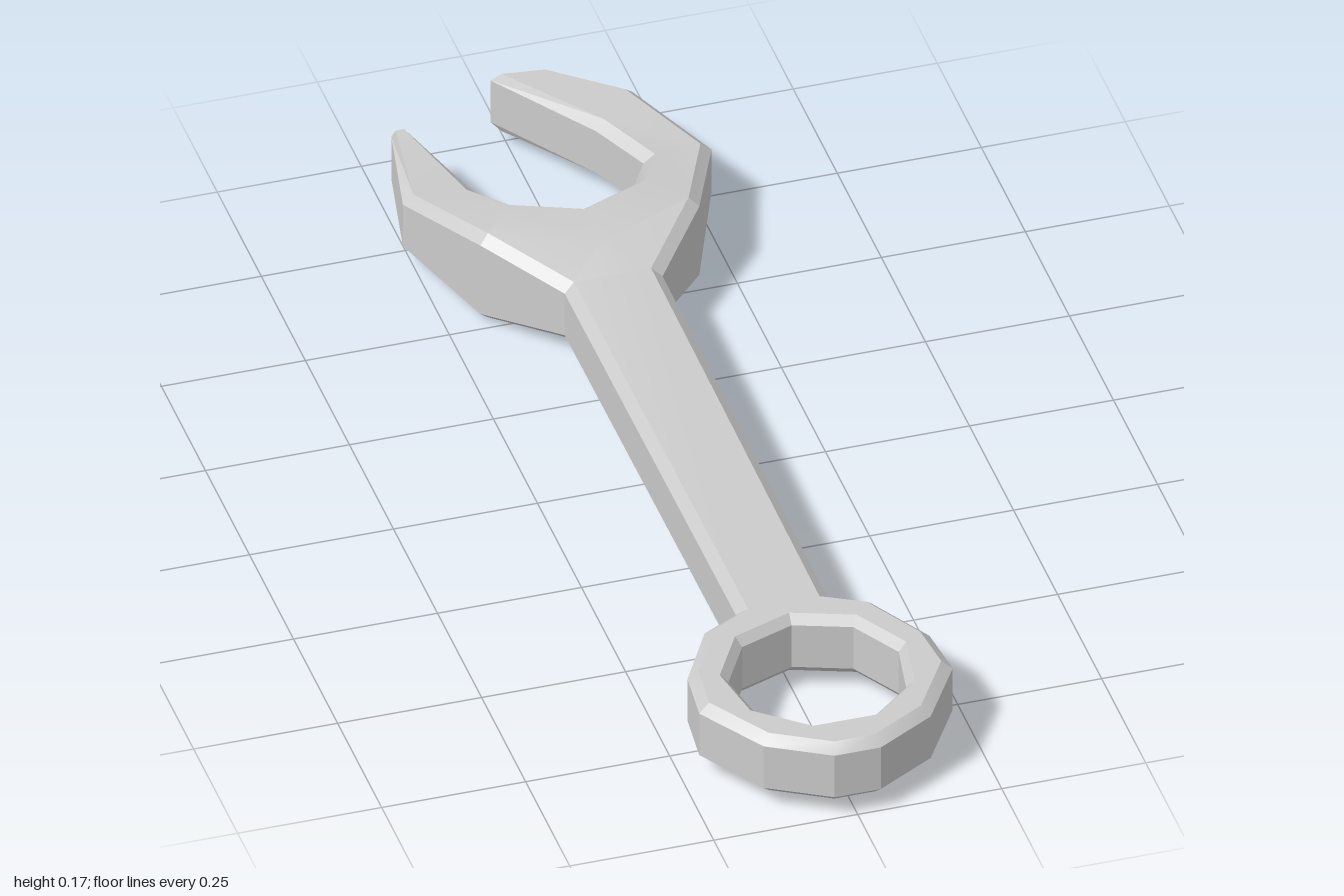
import * as THREE from 'three';
import { toCreasedNormals } from 'three/addons/utils/BufferGeometryUtils.js';

const MID = 0.086;    // height of the middle plane
const WALL = 0.0425;  // half height of the upright walls
const CAP = 0.0585;   // half height of the flat faces
const SWELL = 0.0275; // extra thickness at the root of the jaw
const INSET = 0.018;  // width of the chamfer

// Outline seen from above, anticlockwise: x, z, swell (0..1), chamfer scale
const OUTLINE = [
  [0.08, 0.57], [0.085, -0.385],                                        // handle, left side
  [0.19, -0.52, 1], [0.268, -0.705], [0.19, -0.9], [0.07, -1],          // long arm, outside
  [-0.026, -1, 0, 0.5], [0.1, -0.81], [0.148, -0.7],                    // long arm, inside
  [0.105, -0.61, 1], [0, -0.567, 1], [-0.105, -0.61, 1],                // bottom of the jaw
  [-0.144, -0.7], [-0.205, -0.895, 0, 0.35], [-0.23, -0.895, 0, 0.35],  // short arm
  [-0.268, -0.705], [-0.19, -0.52, 1],
  [-0.085, -0.385], [-0.08, 0.57],                                      // handle, right side
  [-0.145, 0.605], [-0.21, 0.72], [-0.22, 0.82], [-0.145, 0.94], [-0.04, 1], // ring
  [0.04, 1], [0.145, 0.94], [0.22, 0.82], [0.21, 0.72], [0.145, 0.605],
];

// Nine-sided hole of the ring, clockwise so that the metal lies on its left
const HOLE = Array.from({ length: 9 }, (_, i) => {
  const a = (i / 9) * Math.PI * 2;
  return [0.15 * Math.sin(a), 0.775 - 0.15 * Math.cos(a), 0, 0.75];
});

// Flat faces of the handle and jaw as outline indices; C is the raised centre of the jaw root
const C = OUTLINE.length;
const FACES = [
  [18, 0, 1, 17], [1, C, 17], [1, 2, C], [C, 16, 17],
  [C, 2, 9, 10], [C, 10, 11, 16],
  [2, 3, 8, 9], [3, 4, 7, 8], [4, 5, 6, 7],
  [11, 12, 15, 16], [12, 13, 14, 15],
];

// Move each corner into the metal to get the inner edge of the chamfer
function insetLoop(loop) {
  const n = loop.length;
  const left = (a, b) => new THREE.Vector2(b[1] - a[1], a[0] - b[0]).normalize();
  return loop.map((p, i) => {
    const n1 = left(loop[(i + n - 1) % n], p);
    const n2 = left(p, loop[(i + 1) % n]);
    const d = (INSET * (p[3] ?? 1)) / (1 + n1.dot(n2));
    return [p[0] + (n1.x + n2.x) * d, p[1] + (n1.y + n2.y) * d, p[2]];
  });
}

function wrenchGeometry() {
  const positions = [];
  const point = ([x, z, swell = 0], half, side) =>
    [x, MID + side * (half + swell * SWELL), z];
  const fan = (pts, flip) => {
    for (let i = 1; i < pts.length - 1; i++) {
      const tri = [pts[0], pts[i], pts[i + 1]];
      if (flip) tri.reverse();
      positions.push(...tri.flat());
    }
  };

  const inner = insetLoop(OUTLINE);
  const innerHole = insetLoop(HOLE);

  // Upright walls with a chamfer above and below
  for (const [outer, inset] of [[OUTLINE, inner], [HOLE, innerHole]]) {
    outer.forEach((a, i) => {
      const j = (i + 1) % outer.length;
      const b = outer[j];
      fan([point(a, WALL, -1), point(b, WALL, -1), point(b, WALL, 1), point(a, WALL, 1)]);
      for (const side of [1, -1]) {
        fan([point(a, WALL, side), point(b, WALL, side),
          point(inset[j], CAP, side), point(inset[i], CAP, side)], side < 0);
      }
    });
  }

  // Flat faces of the ring, around the hole
  const ring = [...inner.slice(18), inner[0]];
  const flat = (loop) => loop.map(([x, z]) => new THREE.Vector2(x, -z));
  const ringPoints = [...ring, ...innerHole];
  const ringFaces = THREE.ShapeUtils.triangulateShape(flat(ring), [flat(innerHole)]);

  // Flat faces, top and bottom
  const capPoints = [...inner, [0, -0.45, 1]];
  for (const side of [1, -1]) {
    for (const f of FACES) fan(f.map((i) => point(capPoints[i], CAP, side)), side < 0);
    for (const f of ringFaces) fan(f.map((i) => point(ringPoints[i], CAP, side)), side < 0);
  }

  const geometry = new THREE.BufferGeometry();
  geometry.setAttribute('position', new THREE.Float32BufferAttribute(positions, 3));
  return toCreasedNormals(geometry, THREE.MathUtils.degToRad(20));
}

export function createModel() {
  const group = new THREE.Group();
  group.name = 'combinationWrench';
  const body = new THREE.Mesh(
    wrenchGeometry(),
    new THREE.MeshStandardMaterial({ color: 0xcccccc }),
  );
  body.name = 'wrenchBody';
  group.add(body);
  return group;
}
